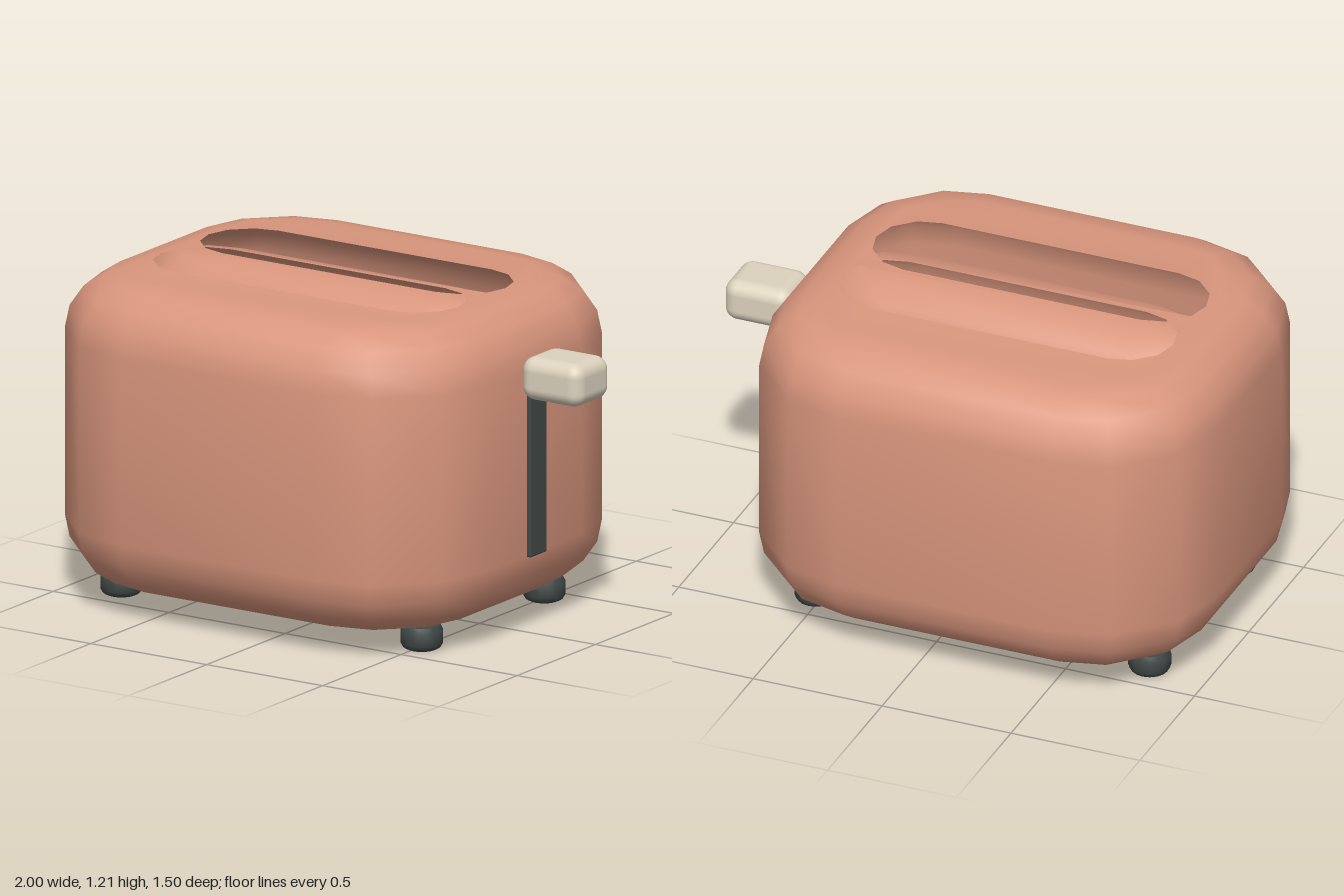
import * as THREE from 'three';
import { toCreasedNormals } from 'three/addons/utils/BufferGeometryUtils.js';
import { RoundedBoxGeometry } from 'three/addons/geometries/RoundedBoxGeometry.js';

const CX = -0.13; // middle of the body along x

// Clockwise rounded rectangle with three facets per corner
function roundedRect(halfW, halfH, r, cy = 0) {
  const points = [];
  for (let corner = 0; corner < 4; corner++) {
    const sx = corner === 0 || corner === 3 ? -1 : 1;
    const sy = corner < 2 ? 1 : -1;
    for (const a of [0, 29, 61, 90]) {
      const t = THREE.MathUtils.degToRad(180 - corner * 90 - a);
      points.push(new THREE.Vector2(
        sx * (halfW - r) + r * Math.cos(t),
        cy + sy * (halfH - r) + r * Math.sin(t)));
    }
  }
  // a full-round end has coincident corner points: drop the repeats
  return points.filter((p, i) => p.distanceTo(points[(i + 1) % points.length]) > 1e-4);
}

export function createModel() {
  const group = new THREE.Group();
  const copper = new THREE.MeshStandardMaterial({ color: 0xd9967d, side: THREE.DoubleSide });
  const dark = new THREE.MeshStandardMaterial({ color: 0x3f4846 });
  const cream = new THREE.MeshStandardMaterial({ color: 0xdcd2be });

  const add = (name, geometry, material, x, y, z) => {
    const mesh = new THREE.Mesh(geometry, material);
    mesh.name = name;
    mesh.position.set(x, y, z);
    group.add(mesh);
    return mesh;
  };

  // Body: rounded block with two bread slots that widen below the rim
  const shape = new THREE.Shape(roundedRect(0.65, 0.53, 0.263));
  for (const side of [1, -1]) {
    shape.holes.push(new THREE.Path(roundedRect(0.64, 0.18, 0.18, side * 0.15)));
  }
  const body = new THREE.ExtrudeGeometry(shape, {
    depth: 0.69, bevelEnabled: true, bevelSize: 0.22, bevelThickness: 0.22, bevelSegments: 4,
  });
  body.rotateX(-Math.PI / 2);
  add('body', toCreasedNormals(body, 0.7), copper, CX, 0.3, 0);

  // Heating plates inside the slots
  for (const side of [1, -1]) {
    add('heatingPlate', new RoundedBoxGeometry(0.965, 0.56, 0.07, 3, 0.03), dark, CX, 0.645, side * 0.29);
  }

  // Lever track and knob on the end
  add('leverTrack', new RoundedBoxGeometry(0.03, 0.71, 0.105, 2, 0.006), dark, 0.742, 0.65, 0);
  add('leverKnob', new RoundedBoxGeometry(0.26, 0.16, 0.22, 4, 0.05), cream, 0.87, 0.97, 0);

  // Feet with rounded rims
  const footProfile = [[0, 0], [0.05, 0], [0.067, 0.008], [0.077, 0.025], [0.077, 0.07], [0.067, 0.09], [0, 0.1]]
    .map(([r, y]) => new THREE.Vector2(r, y));
  const foot = toCreasedNormals(new THREE.LatheGeometry(footProfile, 16), 0.8);
  for (const x of [-0.78, 0.515]) {
    for (const z of [-0.39, 0.39]) add('foot', foot, dark, x, 0, z);
  }
  return group;
}
